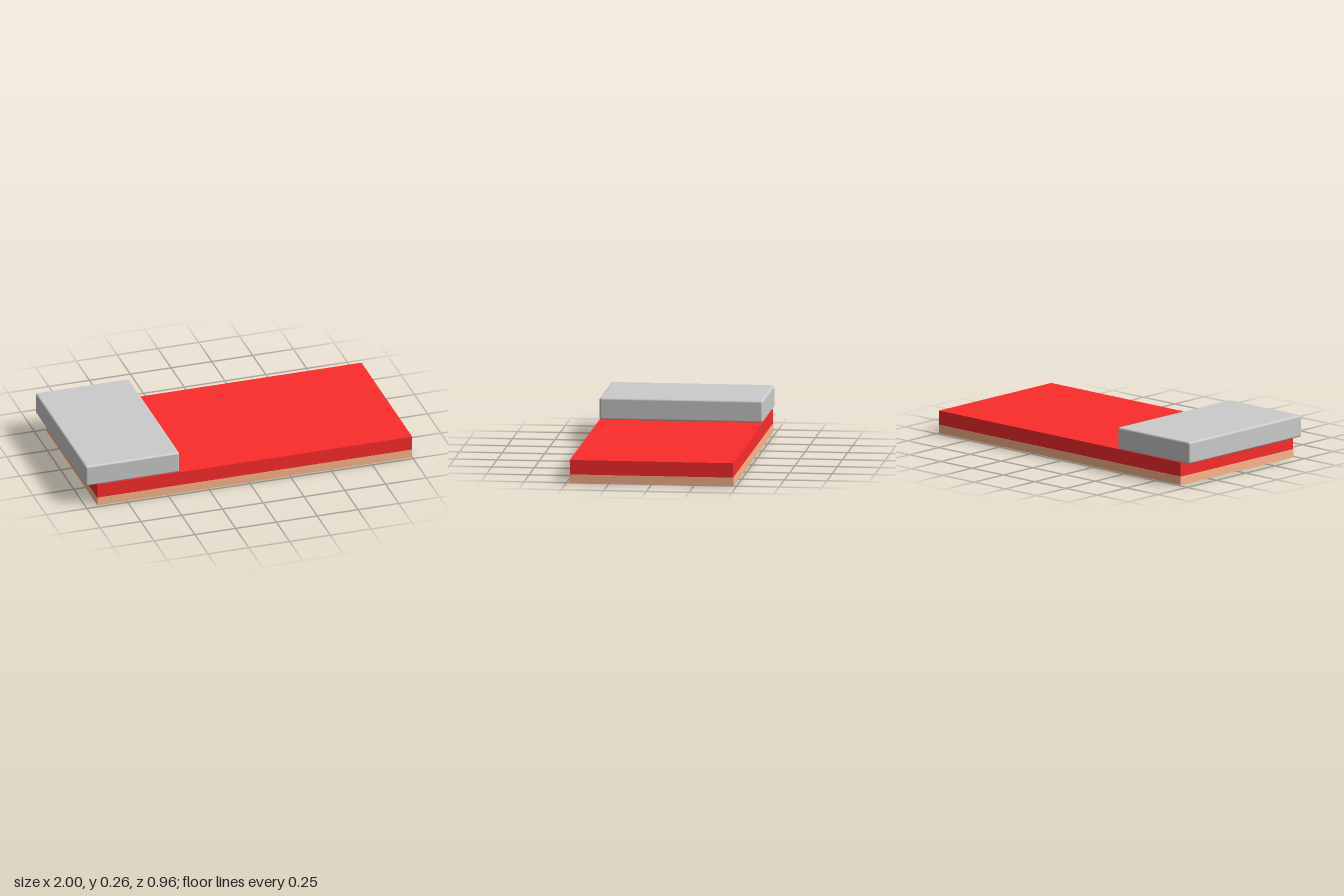
import * as THREE from 'three';
import { RoundedBoxGeometry } from 'three/addons/geometries/RoundedBoxGeometry.js';

// Box mesh spanning the given [min, max] ranges; radius > 0 softens its edges
function block(name, color, [x0, x1], [y0, y1], [z0, z1], radius = 0) {
  const size = [x1 - x0, y1 - y0, z1 - z0];
  const geometry = radius
    ? new RoundedBoxGeometry(...size, 3, radius)
    : new THREE.BoxGeometry(...size);
  const mesh = new THREE.Mesh(geometry, new THREE.MeshStandardMaterial({ color }));
  mesh.name = name;
  mesh.position.set((x0 + x1) / 2, (y0 + y1) / 2, (z0 + z1) / 2);
  return mesh;
}

export function createModel() {
  const bed = new THREE.Group();
  bed.name = 'bed';

  // Wooden base slab
  bed.add(block('base', 0xffb68b, [-0.93, 0.997], [0, 0.05], [-0.482, 0.482]));

  // Mattress with red cover
  bed.add(block('mattress', 0xfc2b2b, [-0.93, 1], [0.05, 0.135], [-0.48, 0.48]));

  // Pillow overhanging the head end
  bed.add(block('pillow', 0xcccccc, [-1, -0.425], [0.135, 0.265], [-0.48, 0.48], 0.012));

  return bed;
}
